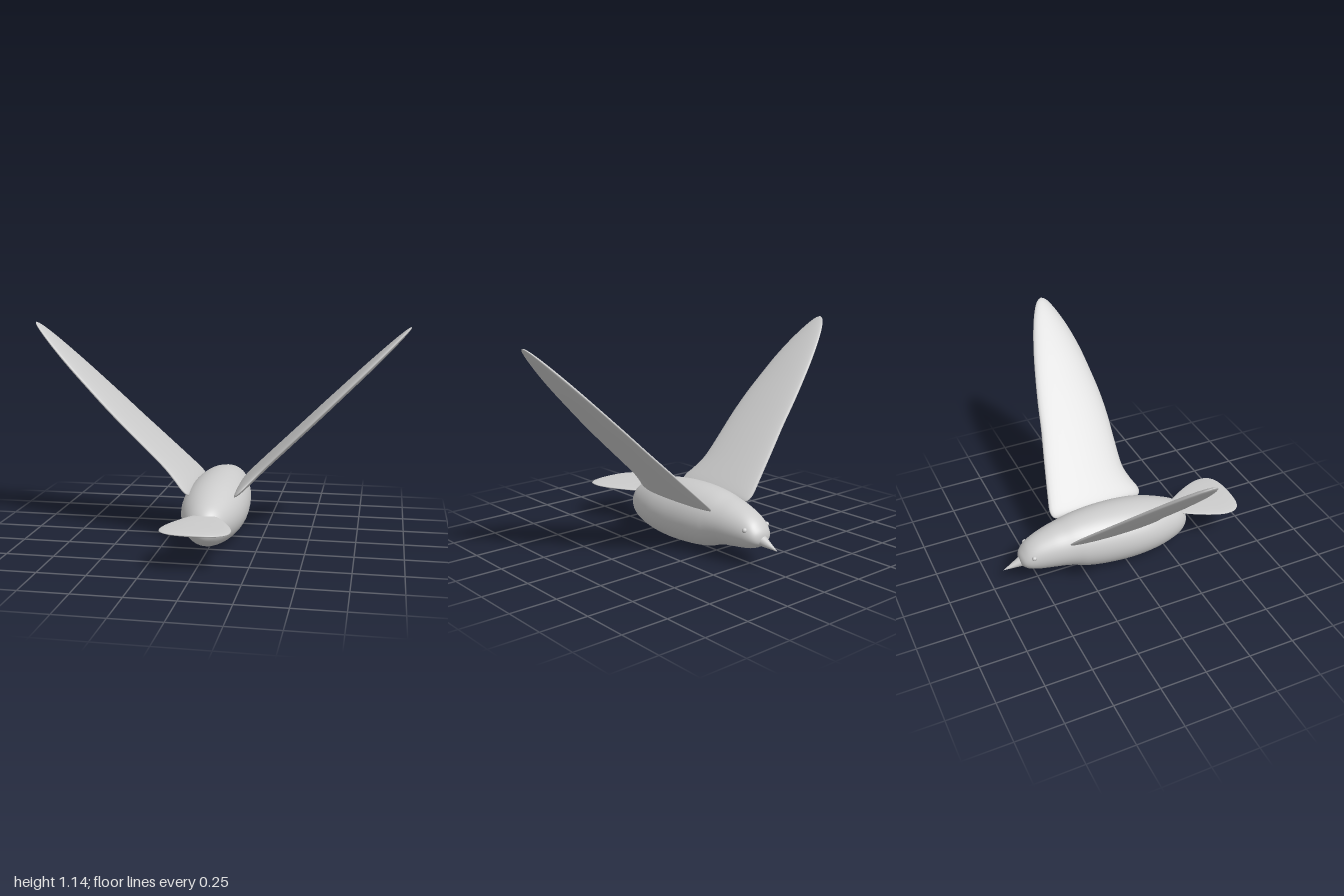
import * as THREE from 'three';

const grey = new THREE.MeshStandardMaterial({ color: 0xcccccc });

// Smooth loft through sections [station, low, high, halfThickness].
// place(s, m, n) maps station, in-plane coordinate and thickness to a point.
function loft(sections, place, steps, sides) {
  const span = new THREE.CatmullRomCurve3(
    sections.map(([s, lo, hi]) => new THREE.Vector3(s, lo, hi)), false, 'catmullrom');
  const thick = new THREE.CatmullRomCurve3(
    sections.map(([s, , , t]) => new THREE.Vector3(s, t, 0)), false, 'catmullrom');
  const pos = [], idx = [];
  for (let i = 0; i <= steps; i++) {
    const p = span.getPoint(i / steps);
    const t = Math.max(thick.getPoint(i / steps).y, 0.0003);
    for (let j = 0; j < sides; j++) {
      const a = (j / sides) * Math.PI * 2;
      const m = (p.y + p.z) / 2 + Math.cos(a) * (p.z - p.y) / 2;
      pos.push(...place(p.x, m, Math.sin(a) * t));
      if (i === steps) continue;
      const k = i * sides + j, l = i * sides + (j + 1) % sides;
      idx.push(k, k + sides, l, l, k + sides, l + sides);
    }
  }
  const g = new THREE.BufferGeometry();
  g.setAttribute('position', new THREE.Float32BufferAttribute(pos, 3));
  g.setIndex(idx);
  g.computeVertexNormals();
  return g;
}

export function createModel() {
  const bird = new THREE.Group();
  bird.name = 'bird';
  const add = (name, geometry) => {
    const mesh = new THREE.Mesh(geometry, grey);
    mesh.name = name;
    bird.add(mesh);
    return mesh;
  };

  // Body and head: z, bottom y, top y, half width
  const body = [
    [-0.6, 0.159, 0.161, 0.001], [-0.595, 0.133, 0.187, 0.033], [-0.58, 0.116, 0.212, 0.06],
    [-0.55, 0.098, 0.245, 0.079], [-0.5, 0.084, 0.274, 0.095], [-0.42, 0.073, 0.301, 0.115],
    [-0.35, 0.063, 0.316, 0.13], [-0.3, 0.049, 0.327, 0.141], [-0.25, 0.03, 0.334, 0.152],
    [-0.17, 0.014, 0.34, 0.164], [-0.08, 0.005, 0.34, 0.172], [0.02, 0.001, 0.334, 0.175],
    [0.12, 0.005, 0.32, 0.168], [0.21, 0.014, 0.297, 0.149], [0.29, 0.03, 0.269, 0.122],
    [0.34, 0.048, 0.246, 0.098], [0.375, 0.073, 0.217, 0.07], [0.393, 0.1, 0.183, 0.038],
    [0.4, 0.139, 0.141, 0.001],
  ];
  add('body', loft(body, (z, y, x) => [x, y, z], 108, 48));

  // Wings: x, leading z, trailing z, half thickness; raised at 45 degrees
  const wing = [
    [0.118, -0.3, 0.13, 0.001], [0.122, -0.335, 0.165, 0.012], [0.135, -0.352, 0.181, 0.019],
    [0.16, -0.356, 0.178, 0.022], [0.2, -0.346, 0.152, 0.023], [0.26, -0.329, 0.129, 0.023],
    [0.36, -0.3, 0.131, 0.023], [0.47, -0.267, 0.137, 0.023], [0.57, -0.242, 0.133, 0.023],
    [0.67, -0.213, 0.118, 0.022], [0.77, -0.18, 0.098, 0.021], [0.86, -0.144, 0.068, 0.018],
    [0.93, -0.109, 0.034, 0.014], [0.975, -0.078, 0.004, 0.009], [0.993, -0.056, -0.016, 0.005],
    [1.0, -0.037, -0.035, 0.001],
  ];
  for (const side of [1, -1]) {
    const place = (x, z, n) => [
      side * x - n * Math.SQRT1_2, x + 0.14 + side * n * Math.SQRT1_2, z];
    add(side > 0 ? 'leftWing' : 'rightWing', loft(wing, place, 90, 32));
  }

  // Tail fan: z, right x, left x, half thickness
  const tail = [
    [0.345, 0.03, 0.003], [0.352, 0.062, 0.008], [0.38, 0.086, 0.01], [0.43, 0.116, 0.011],
    [0.48, 0.142, 0.012], [0.53, 0.163, 0.012], [0.58, 0.175, 0.012], [0.63, 0.17, 0.011],
    [0.66, 0.147, 0.009], [0.678, 0.112, 0.007], [0.687, 0.065, 0.004], [0.69, 0.001, 0.001],
  ].map(([z, w, t]) => [z, -w, w, t]);
  add('tail', loft(tail, (z, x, n) => [x, 0.204 - n, z], 66, 32));

  // Beak
  const beak = add('beak', new THREE.ConeGeometry(0.03, 0.115, 32));
  beak.position.set(0, 0.13, -0.637);
  beak.rotation.x = -1.84;

  // Eyes
  for (const side of [1, -1]) {
    const eye = add(side > 0 ? 'leftEye' : 'rightEye', new THREE.SphereGeometry(0.013, 20, 14));
    eye.position.set(side * 0.077, 0.202, -0.537);
  }
  return bird;
}
